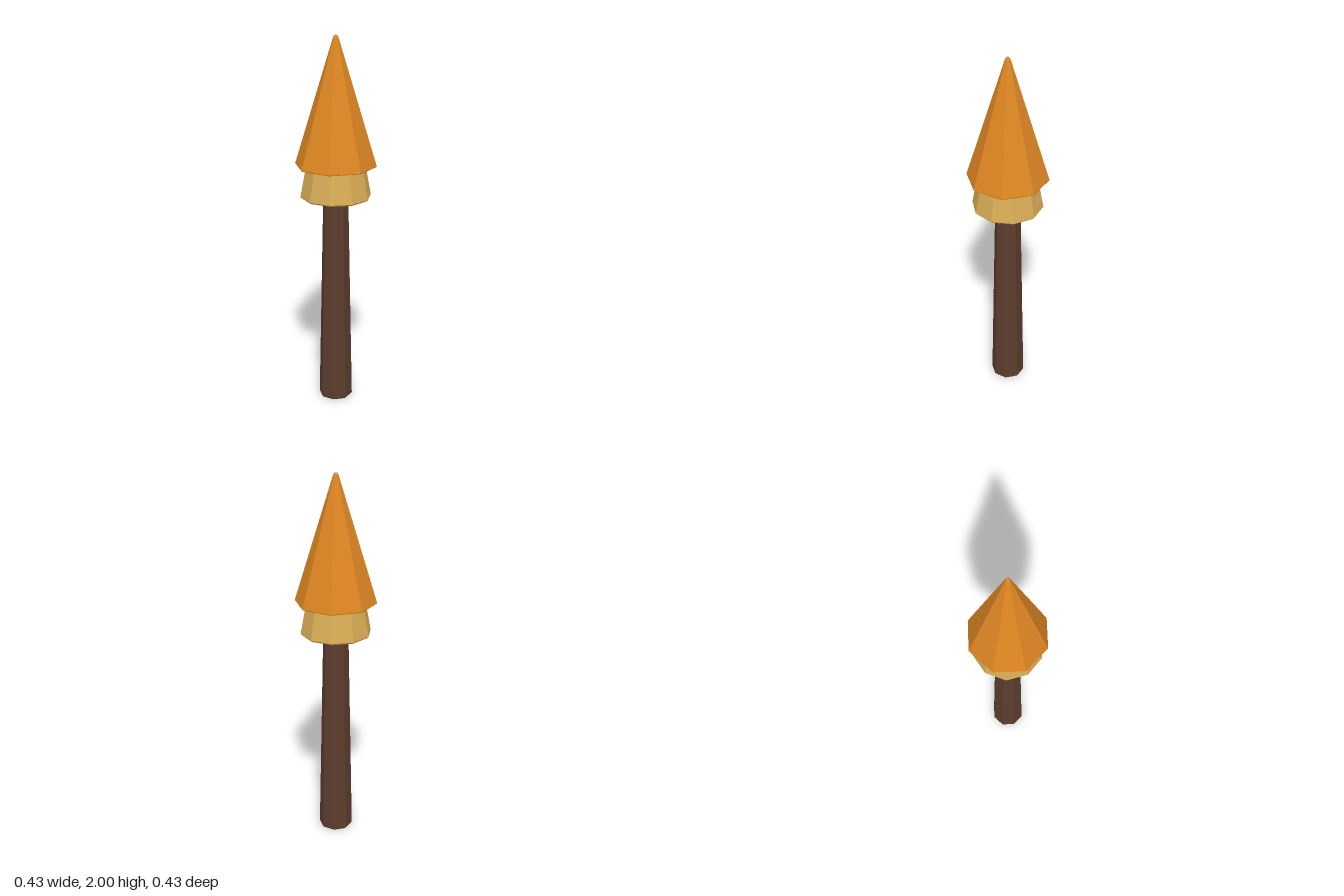
import * as THREE from 'three';

// Faceted turned part: profile runs from the bottom centre to the top centre
function turned(name, profile, sides, material) {
  const points = profile.map(([r, y]) => new THREE.Vector2(r, y));
  const geometry = new THREE.LatheGeometry(points, sides).toNonIndexed();
  geometry.computeVertexNormals();
  const mesh = new THREE.Mesh(geometry, material);
  mesh.name = name;
  return mesh;
}

function material(name, color) {
  const m = new THREE.MeshStandardMaterial({ color });
  m.name = name;
  return m;
}

export function createModel() {
  const wood = material('dark brown wood', 0x5c3d2e);
  const straw = material('straw yellow', 0xd8ac55);
  const orange = material('orange', 0xde8622);

  const model = new THREE.Group();
  model.name = 'coneToppedPost';
  model.add(
    // Tapered handle with a small bevel at the foot
    turned('handle', [[0, 0], [0.083, 0], [0.091, 0.009], [0.066, 1.2], [0, 1.2]], 8, wood),
    // Flared ten-sided collar
    turned('collar', [[0, 1.15], [0.181, 1.15], [0.188, 1.158], [0.155, 1.335], [0, 1.335]], 10, straw),
    // Eight-sided pointed head with a slightly blunted tip
    turned('head', [[0, 1.322], [0.214, 1.322], [0.216, 1.326], [0.014, 1.99], [0.008, 2], [0, 2]], 8, orange),
  );
  return model;
}
